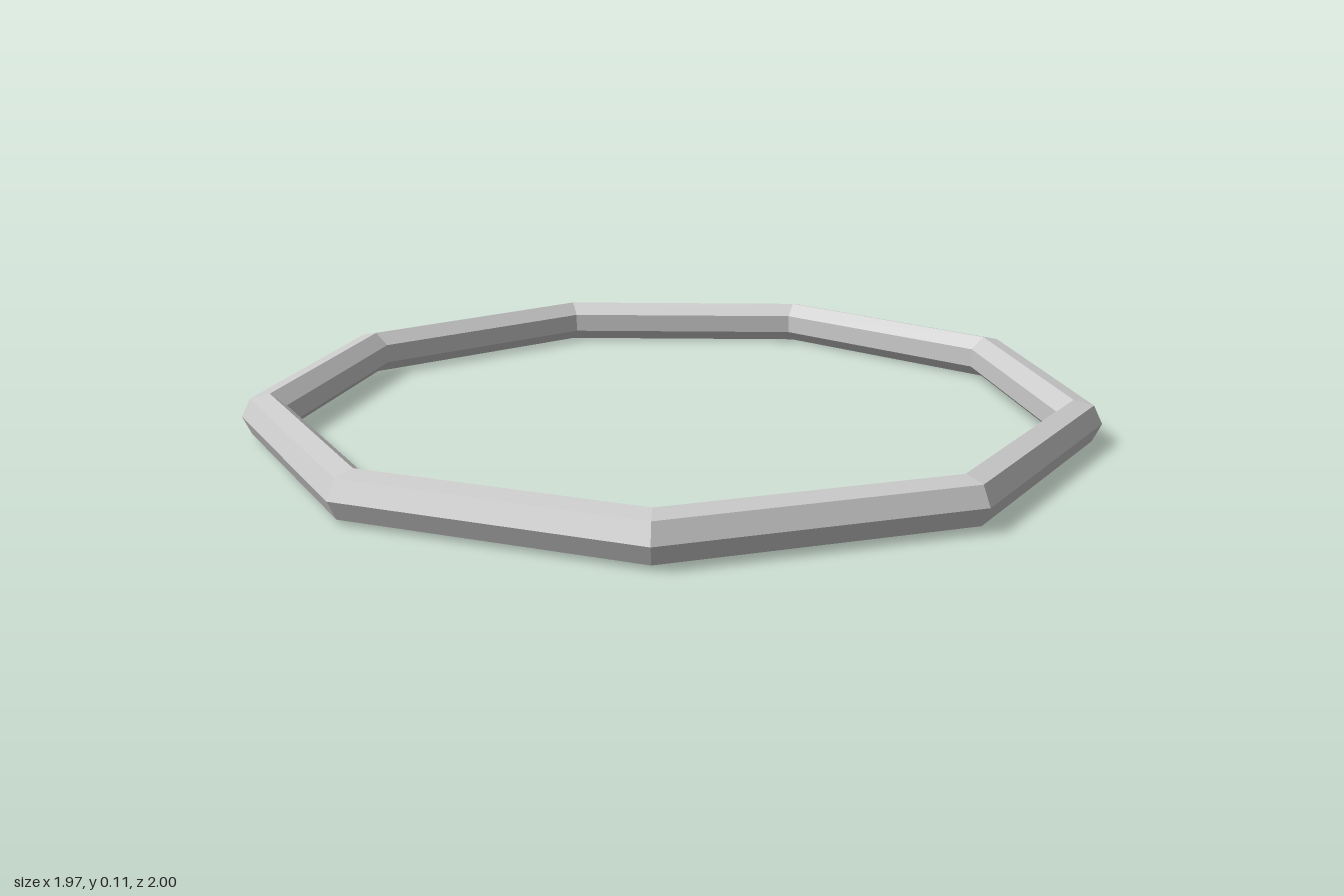
import * as THREE from 'three';

export function createModel() {
  const group = new THREE.Group();
  const material = new THREE.MeshStandardMaterial({ color: 0xcccccc, flatShading: true });

  // Nine-sided ring with a seven-sided tube, one tube edge pointing outward
  const outerRadius = 1 / Math.sin(THREE.MathUtils.degToRad(80));
  const tube = 0.055;
  const geometry = new THREE.TorusGeometry(outerRadius - tube, tube, 7, 9);
  geometry.rotateX(-Math.PI / 2);

  // Centre the odd-sided outline and rest it on the ground
  geometry.computeBoundingBox();
  const { min, max } = geometry.boundingBox;
  geometry.translate(-(min.x + max.x) / 2, -min.y, -(min.z + max.z) / 2);

  const ring = new THREE.Mesh(geometry, material);
  ring.name = 'ring';
  group.add(ring);
  return group;
}
